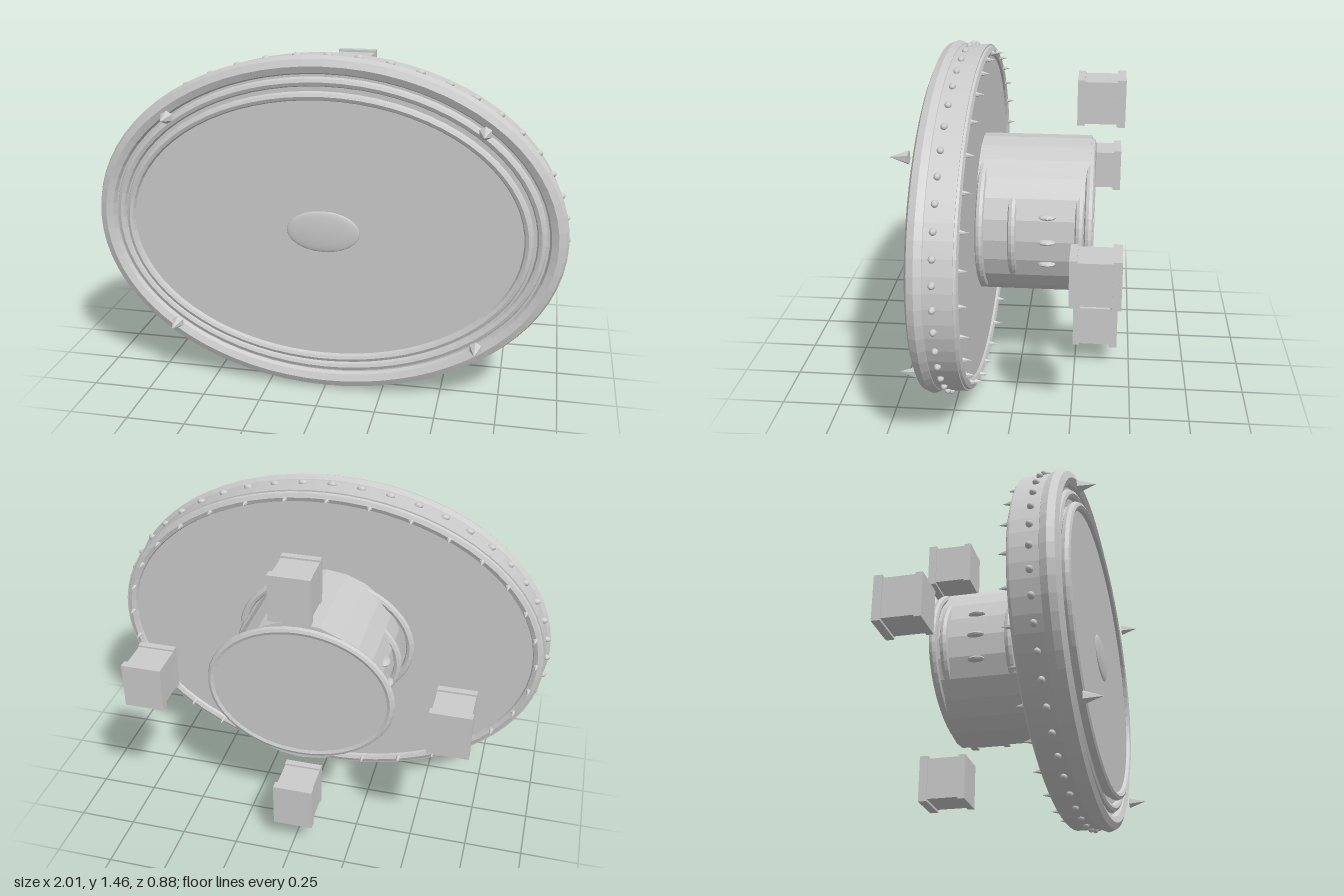
import * as THREE from 'three';

const material = new THREE.MeshStandardMaterial({ color: 0xcccccc, flatShading: true });
const smooth = new THREE.MeshStandardMaterial({ color: 0xcccccc });
const CENTER_Y = 0.732, RX = 1.0, RY = 0.732;

function add(parent, name, geometry, x = 0, y = 0, z = 0, mat = material) {
  const mesh = new THREE.Mesh(geometry, mat);
  mesh.name = name;
  mesh.position.set(x, y, z);
  parent.add(mesh);
  return mesh;
}

// Tube of even thickness swept round an ellipse; rx and ry are its outer radii
function ellipseTube(rx, ry, radius, depth = radius, sides = 8, segments = 72) {
  const points = [], index = [];
  for (let i = 0; i < segments; i++) {
    const t = (i / segments) * Math.PI * 2;
    for (let j = 0; j < sides; j++) {
      const a = (j / sides) * Math.PI * 2;
      const inset = radius * (1 - Math.cos(a));
      points.push((rx - inset) * Math.cos(t), (ry - inset) * Math.sin(t), depth * Math.sin(a));
      const i2 = (i + 1) % segments, j2 = (j + 1) % sides;
      const p = i * sides + j, q = i2 * sides + j, r = i2 * sides + j2, s = i * sides + j2;
      index.push(p, q, r, p, r, s);
    }
  }
  const geometry = new THREE.BufferGeometry();
  geometry.setAttribute('position', new THREE.Float32BufferAttribute(points, 3));
  geometry.setIndex(index);
  geometry.computeVertexNormals();
  return geometry;
}

// Elliptical slab between two z values
function slab(rx, ry, back, front, segments = 72) {
  return new THREE.CylinderGeometry(1, 1, front - back, segments)
    .rotateX(Math.PI / 2).scale(rx, ry, 1).translate(0, 0, (front + back) / 2);
}

// Calls place(x, y) at even steps round an ellipse
function around(count, rx, ry, place, start = 0) {
  for (let i = 0; i < count; i++) {
    const t = start + (i / count) * Math.PI * 2;
    place(rx * Math.cos(t), ry * Math.sin(t));
  }
}

export function createModel() {
  const model = new THREE.Group();
  model.name = 'ovalDish';
  const body = new THREE.Group();
  body.name = 'body';
  body.position.y = CENTER_Y;
  model.add(body);

  // Oval drum and its stepped front plates
  add(body, 'drum', slab(RX - 0.015, RY - 0.015, 0.165, 0.3));
  add(body, 'grooveFloor', slab(RX - 0.06, RY - 0.06, 0.28, 0.315));
  add(body, 'facePlate', slab(RX - 0.155, RY - 0.155, 0.3, 0.345));

  // Raised rims: name, inset, tube radius, depth radius, z
  const rims = [
    ['outerRim', 0, 0.04, 0.04, 0.305],
    ['middleRim', 0.085, 0.02, 0.02, 0.32],
    ['innerRim', 0.138, 0.019, 0.02, 0.346],
    ['backRim', 0.018, 0.026, 0.025, 0.173],
  ];
  for (const [name, inset, radius, depth, z] of rims) {
    add(body, name, ellipseTube(RX - inset, RY - inset, radius, depth), 0, 0, z);
  }

  // Shallow oval boss in the middle of the face
  add(body, 'centreBoss', new THREE.SphereGeometry(1, 32, 12).scale(0.155, 0.09, 0.012), 0, 0, 0.345, smooth);

  // Rivets round the drum's edge
  const rivet = new THREE.SphereGeometry(1, 10, 8).scale(0.02, 0.014, 0.014);
  around(48, RX - 0.014, RY - 0.014, (x, y) => add(body, 'rivet', rivet, x, y, 0.24, smooth));

  // Small spikes on the back rim
  const backSpike = new THREE.ConeGeometry(0.014, 0.045, 6).rotateX(-Math.PI / 2);
  around(32, RX - 0.05, RY - 0.05, (x, y) => add(body, 'backSpike', backSpike, x, y, 0.137));

  // Four larger spikes on the front
  const frontSpike = new THREE.ConeGeometry(0.028, 0.075, 6).rotateX(Math.PI / 2);
  around(4, RX - 0.08, RY - 0.08, (x, y) => add(body, 'frontSpike', frontSpike, x, y, 0.405), Math.PI / 4);

  // Rear barrel with oval bands and end cap
  add(body, 'barrel', slab(0.345, 0.345, -0.303, 0.18, 24));
  add(body, 'barrelCap', slab(0.395, 0.31, -0.315, -0.3));
  const bands = [
    ['baseBand', 0.41, 0.325, 0.145],
    ['frontBand', 0.378, 0.287, 0.015 - 0.025],
    ['rearBand', 0.38, 0.287, -0.265],
    ['endBand', 0.41, 0.325, -0.303],
  ];
  bands[1][3] = 0.015 - 0.001;
  for (const [name, rx, ry, z] of bands) {
    add(body, name, ellipseTube(rx, ry, 0.018, 0.018, 8, 48), 0, 0, z);
  }

  // Three small lugs on each side of the barrel
  const lug = new THREE.SphereGeometry(1, 8, 6).scale(0.025, 0.012, 0.038);
  for (const side of [-1, 1]) {
    for (const angle of [-0.31, 0, 0.31]) {
      add(body, 'lug', lug, side * 0.345 * Math.cos(angle), 0.345 * Math.sin(angle), -0.132);
    }
  }

  // Four separate blocks behind the dish, each with a lip and a wider head
  for (const [x, y] of [[0.655, 0], [-0.655, 0], [0, 0.525], [0, -0.525]]) {
    const block = new THREE.Group();
    block.name = 'block';
    block.position.set(x, y, 0);
    add(block, 'blockBody', new THREE.BoxGeometry(0.16, 0.18, 0.15), 0, 0, -0.335);
    add(block, 'blockLip', new THREE.BoxGeometry(0.163, 0.196, 0.03), 0, 0, -0.255);
    add(block, 'blockHead', new THREE.BoxGeometry(0.174, 0.202, 0.036), 0, 0, -0.423);
    body.add(block);
  }
  return model;
}
